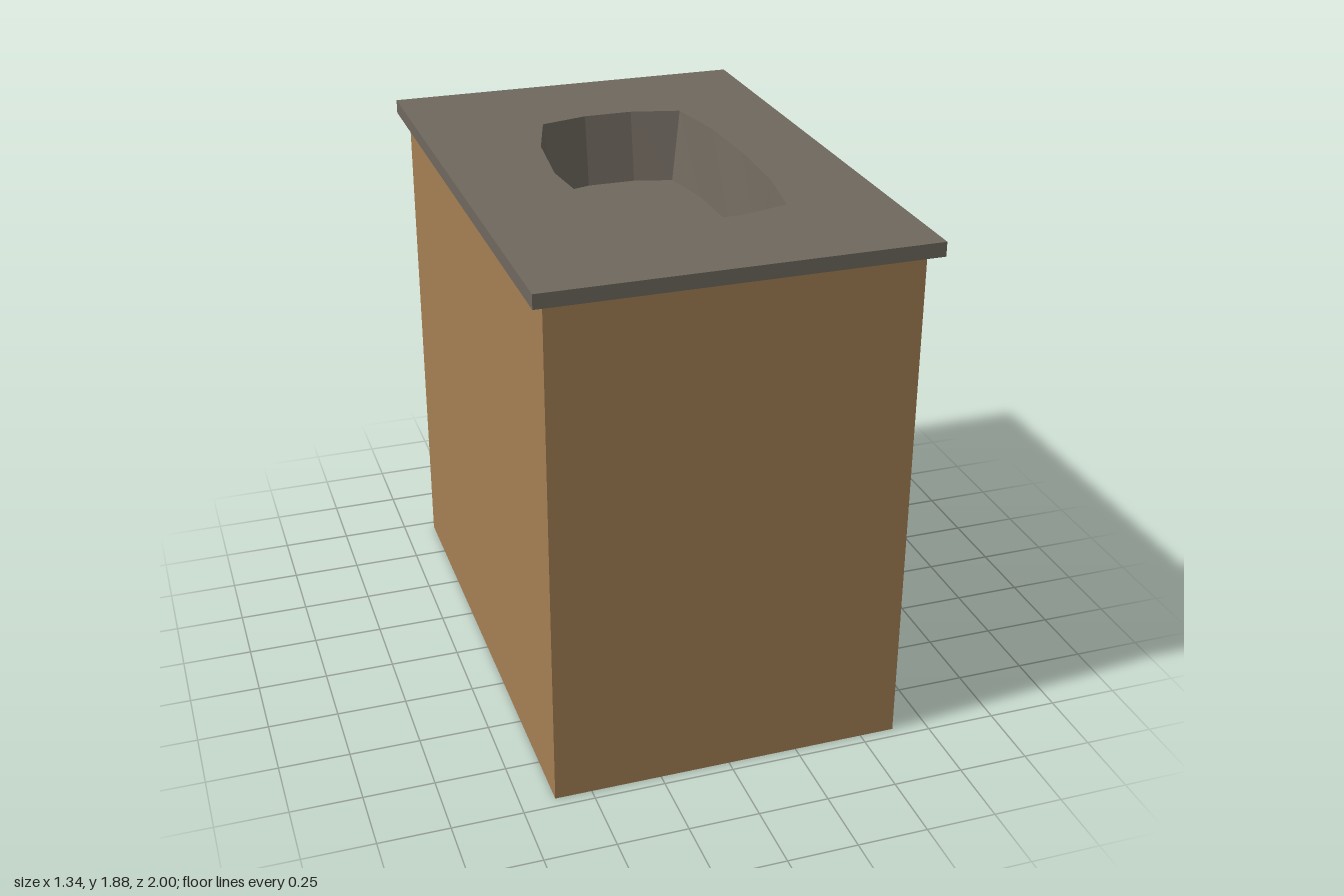
import * as THREE from 'three';

const material = (color) => new THREE.MeshStandardMaterial({ color, side: THREE.DoubleSide, flatShading: true });

// Shape or hole outline of a rectangle
function rect(x0, x1, y0, y1, PathType = THREE.Shape) {
  return new PathType([[x0, y0], [x1, y0], [x1, y1], [x0, y1]].map(([x, y]) => new THREE.Vector2(x, y)));
}

function addMesh(parent, name, geometry, mat) {
  const mesh = new THREE.Mesh(geometry, mat);
  mesh.name = name;
  parent.add(mesh);
  return mesh;
}

export function createModel() {
  const model = new THREE.Group();
  model.name = 'washbasinCabinet';
  const wood = material(0xa47f54);
  const frameMat = material(0x58462f);
  const panelMat = material(0x75572f);
  const stone = material(0x6f685e);

  const left = -0.63, right = 0.625, depth = 0.96, height = 1.83;

  // Cabinet carcass: thin walls, open underneath
  const cabinet = new THREE.Group();
  cabinet.name = 'cabinet';
  model.add(cabinet);
  for (const [name, z, turn] of [['frontWall', depth, 0], ['backWall', -depth, Math.PI]]) {
    const wall = addMesh(cabinet, name, new THREE.PlaneGeometry(right - left, height), wood);
    wall.position.set((left + right) / 2, height / 2, z);
    wall.rotation.y = turn;
  }
  const plainWall = addMesh(cabinet, 'plainSideWall', new THREE.PlaneGeometry(depth * 2, height), wood);
  plainWall.position.set(left, height / 2, 0);
  plainWall.rotation.y = -Math.PI / 2;

  // Door side: wall surround, dark frame and two panels, all flush
  const doors = new THREE.Group();
  doors.name = 'doorSide';
  doors.position.x = right;
  doors.rotation.y = Math.PI / 2;
  cabinet.add(doors);
  const opening = [-0.9, 0.9, 0.08, 1.7];
  const panels = [[-0.845, -0.04, 0.16, 1.65], [0.04, 0.845, 0.16, 1.65]];
  const surround = rect(-depth, depth, 0, height);
  surround.holes.push(rect(...opening, THREE.Path));
  addMesh(doors, 'doorSurround', new THREE.ShapeGeometry(surround), wood);
  const frame = rect(...opening);
  frame.holes = panels.map((p) => rect(...p, THREE.Path));
  addMesh(doors, 'doorFrame', new THREE.ShapeGeometry(frame), frameMat);
  panels.forEach((p) => addMesh(doors, 'doorPanel', new THREE.ShapeGeometry(rect(...p)), panelMat));

  // Basin outlines as x, z for one half, mirrored front to back
  const loop = (half) => [...half, ...half.slice(1, -1).reverse().map(([x, z]) => [x, -z])];
  const rim = loop([[-0.32, 0], [-0.29, 0.29], [-0.215, 0.535], [-0.04, 0.58], [0.14, 0.58],
    [0.32, 0.535], [0.36, 0.29], [0.37, 0]]);
  const base = loop([[-0.27, 0], [-0.24, 0.29], [-0.183, 0.5], [-0.04, 0.54], [0.14, 0.54],
    [0.28, 0.5], [0.32, 0.29], [0.325, 0]]);
  const topY = 1.88, floorY = 1.62;
  const toPoints = (outline) => outline.map(([x, z]) => new THREE.Vector2(x, -z));

  // Countertop slab with the basin cut out
  const slab = rect(-0.67, 0.67, -1, 1);
  slab.holes.push(new THREE.Path(toPoints(rim)));
  const slabGeo = new THREE.ExtrudeGeometry(slab, { depth: topY - height, bevelEnabled: false });
  slabGeo.rotateX(-Math.PI / 2).translate(0, height, 0);
  addMesh(model, 'countertop', slabGeo, stone);

  // Basin walls lofted between the two outlines
  const basin = new THREE.Group();
  basin.name = 'basin';
  model.add(basin);
  const positions = [];
  rim.forEach((a, i) => {
    const j = (i + 1) % rim.length;
    const A = [a[0], topY, a[1]], B = [rim[j][0], topY, rim[j][1]];
    const C = [base[j][0], floorY, base[j][1]], D = [base[i][0], floorY, base[i][1]];
    positions.push(...A, ...D, ...B, ...B, ...D, ...C);
  });
  const walls = new THREE.BufferGeometry();
  walls.setAttribute('position', new THREE.Float32BufferAttribute(positions, 3));
  // Keep the front of every wall turned to the inside of the bowl
  const p = walls.attributes.position;
  const normal = new THREE.Vector3();
  new THREE.Triangle(...[0, 1, 2].map((k) => new THREE.Vector3().fromBufferAttribute(p, k))).getNormal(normal);
  if (normal.x < 0) {
    walls.setIndex(Array.from({ length: p.count }, (_, k) => p.count - 1 - k));
  }
  walls.computeVertexNormals();
  addMesh(basin, 'basinWalls', walls, stone);
  const floorGeo = new THREE.ShapeGeometry(new THREE.Shape(toPoints(base)));
  floorGeo.rotateX(-Math.PI / 2).translate(0, floorY, 0);
  addMesh(basin, 'basinFloor', floorGeo, stone);

  return model;
}
